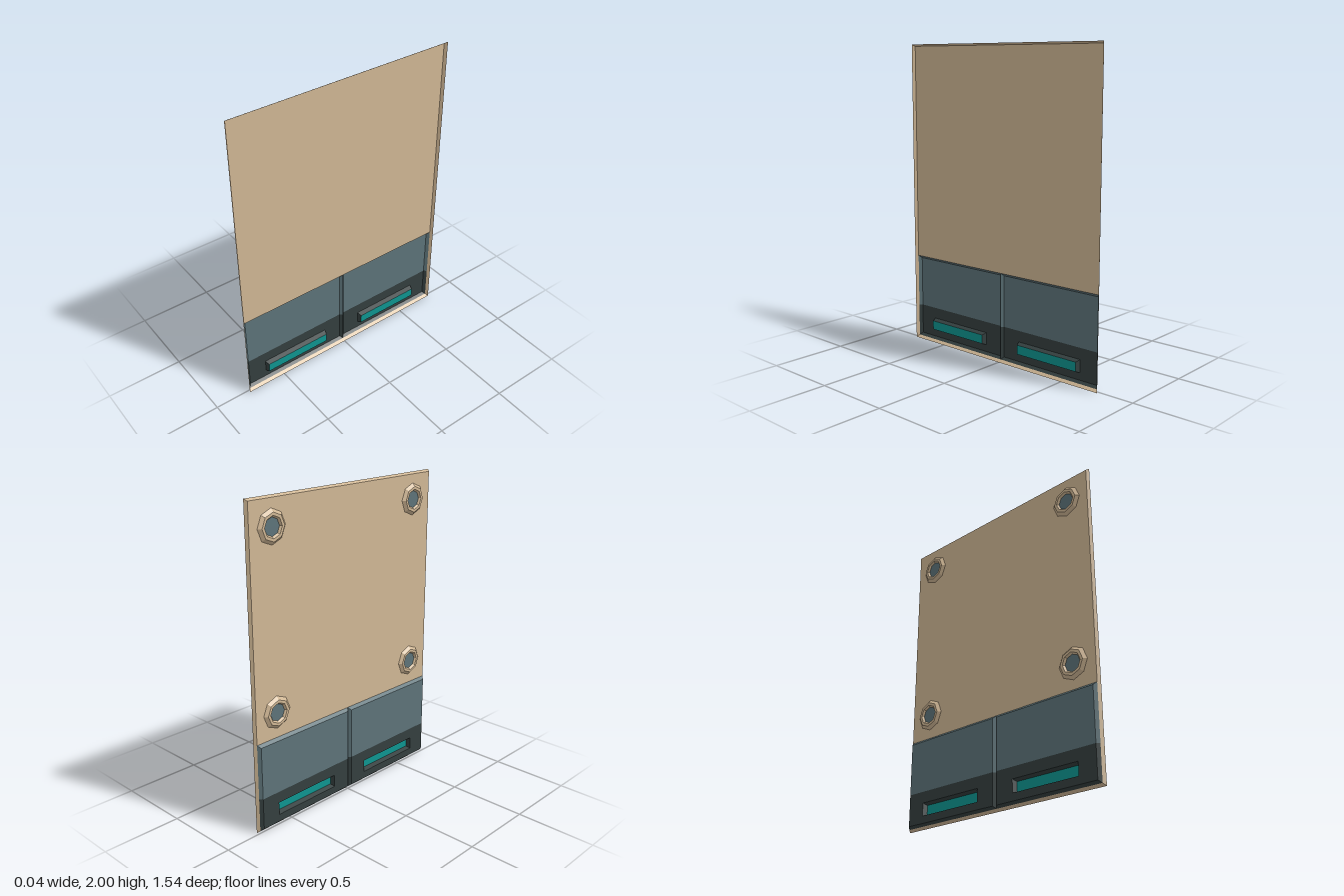
import * as THREE from 'three';

const paint = (name, color) =>
  new THREE.MeshStandardMaterial({ name, color, side: THREE.DoubleSide, flatShading: true });

// Rectangle loop in the plane x: bottom, z1 side, top, z0 side
const rect = (x, y0, y1, z0, z1) => [[x, y0, z0], [x, y0, z1], [x, y1, z1], [x, y1, z0]];

// Octagon loop with corners on the axes
const octagon = (x, r) => Array.from({ length: 8 }, (_, i) => {
  const a = (i * Math.PI) / 4;
  return [x, r * Math.sin(a), r * Math.cos(a)];
});

// Quads joining two loops, for all sides or only the listed ones
function band(a, b, sides = a.map((_, i) => i)) {
  return sides.flatMap((i) => {
    const j = (i + 1) % a.length;
    return [a[i], b[j], a[j], a[i], b[i], b[j]];
  });
}

// Flat face filling a loop
function fill(loop) {
  const out = [];
  for (let i = 1; i < loop.length - 1; i++) out.push(loop[0], loop[i + 1], loop[i]);
  return out;
}

function part(name, material, ...pieces) {
  const geo = new THREE.BufferGeometry();
  geo.setAttribute('position', new THREE.Float32BufferAttribute(pieces.flat(2), 3));
  geo.computeVertexNormals();
  const mesh = new THREE.Mesh(geo, material);
  mesh.name = name;
  return mesh;
}

export function createModel() {
  const tan = paint('tan', 0xd0b795);
  const slate = paint('slate blue', 0x5d7379);
  const dark = paint('dark slate', 0x343f3f);
  const teal = paint('teal', 0x0e9590);
  const model = new THREE.Group();
  model.name = 'wallPanel';

  const D = 0.018; // relief depth
  const W = 0.755; // half width of the sheet
  const split = 0.58; // top of the drawers

  // Sheet and its flared rim
  model.add(part('sheet', tan, fill(rect(0, split, 1.988, -W, W))));
  model.add(part('rim', tan, band(rect(D, 0, 2, -0.768, 0.768), rect(0, 0.015, 1.988, -W, W))));

  // Tapered corner bosses with a sunken centre
  for (const y of [0.74, 1.83]) {
    for (const z of [-0.595, 0.595]) {
      const boss = new THREE.Group();
      boss.name = 'cornerBoss';
      boss.add(part('bossRing', tan,
        band(octagon(0, 0.102), octagon(-D, 0.082)),
        band(octagon(-D, 0.082), octagon(-D, 0.064)),
        band(octagon(-D, 0.064), octagon(-0.005, 0.054))));
      boss.add(part('bossCentre', slate, fill(octagon(-0.005, 0.054))));
      boss.position.set(0, y, z);
      model.add(boss);
    }
  }

  // Two pressed drawers, each with a dark lower band and a sunken handle
  const h = W / 2, hi = h - 0.016, line = 0.23;
  for (const s of [-1, 1]) {
    const drawer = new THREE.Group();
    drawer.name = 'drawer';
    const upper = rect(-D, line, 0.563, -hi, hi);
    drawer.add(part('drawerUpper', slate,
      band(rect(0, line, split, -h, h), upper, [1, 2, 3]), fill(upper)));
    const lower = rect(-D, 0.03, line, -hi, hi);
    const mouth = rect(-D, 0.077, 0.158, -0.238, 0.238);
    const floor = rect(0.012, 0.088, 0.147, -0.229, 0.229);
    drawer.add(part('drawerLower', dark,
      band(rect(0, 0.015, line, -h, h), lower, [0, 1, 3]),
      band(lower, mouth), band(mouth, floor)));
    drawer.add(part('handle', teal, fill(floor)));
    drawer.position.z = s * h;
    model.add(drawer);
  }
  return model;
}
